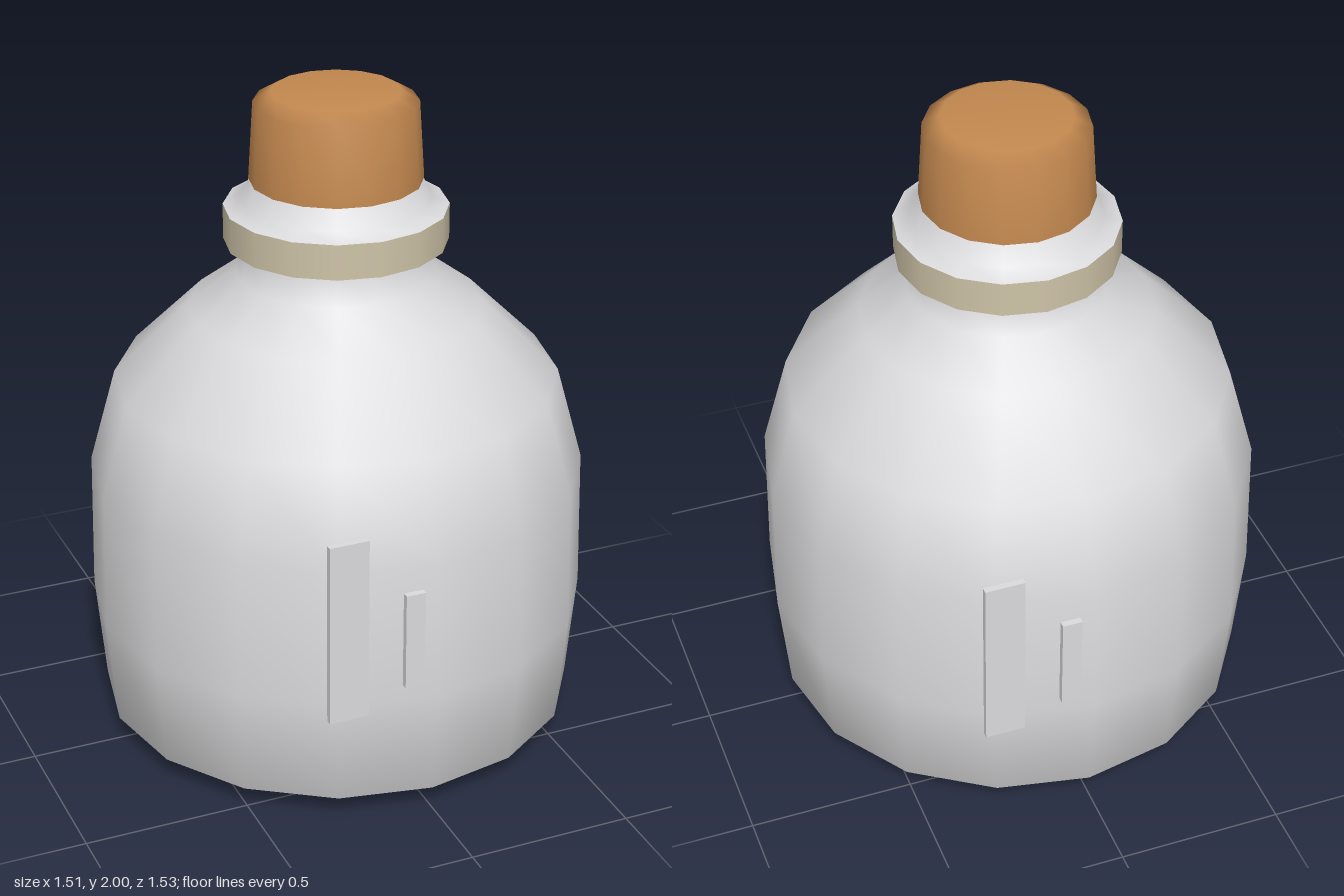
import * as THREE from 'three';

const material = (name, color) => {
  const m = new THREE.MeshStandardMaterial({ color });
  m.name = name;
  return m;
};

export function createModel() {
  const group = new THREE.Group();
  const white = material('offWhite', 0xdbdbdd);
  const tan = material('tan', 0xcfc4a8);
  const brown = material('cork brown', 0xc3884f);

  const add = (name, geometry, mat) => {
    const mesh = new THREE.Mesh(geometry, mat);
    mesh.name = name;
    group.add(mesh);
    return mesh;
  };
  // Sixteen-sided turned part; a repeated profile point makes a sharp edge.
  const turned = (name, profile, mat) =>
    add(name, new THREE.LatheGeometry(profile.map(([r, y]) => new THREE.Vector2(r, y)), 16), mat);

  // Bottle from the base to the top of the shoulder and neck
  turned('bottleBody', [
    [0, 0], [0.6, 0], [0.6, 0], [0.725, 0.07], [0.755, 0.4], [0.747, 0.83], [0.667, 1.12],
    [0.44, 1.345], [0.3, 1.45], [0.28, 1.54],
  ], white);

  // Band around the neck
  turned('neckBand', [
    [0.26, 1.525], [0.285, 1.53], [0.332, 1.548], [0.332, 1.548], [0.332, 1.655],
  ], tan);

  // Pale lip rising from the band to the cap
  turned('neckLip', [[0.332, 1.655], [0.28, 1.675], [0.25, 1.745], [0.235, 1.75]], white);

  // Cap with a bevelled top
  turned('cap', [
    [0.22, 1.735], [0.256, 1.735], [0.256, 1.735], [0.241, 1.97], [0.19, 2], [0, 2],
  ], brown);

  // Raised bars, one pair in front and the same pair turned to the back
  for (const [face, side] of [['front', 1], ['back', -1]]) {
    for (const [name, x, y, w, h] of [
      ['LargeBar', -0.285, 0.68, 0.12, 0.565],
      ['SmallBar', -0.08, 0.61, 0.06, 0.3],
    ]) {
      add(face + name, new THREE.BoxGeometry(w, h, 0.02), white)
        .position.set(x * side, y, 0.755 * side);
    }
  }
  return group;
}
